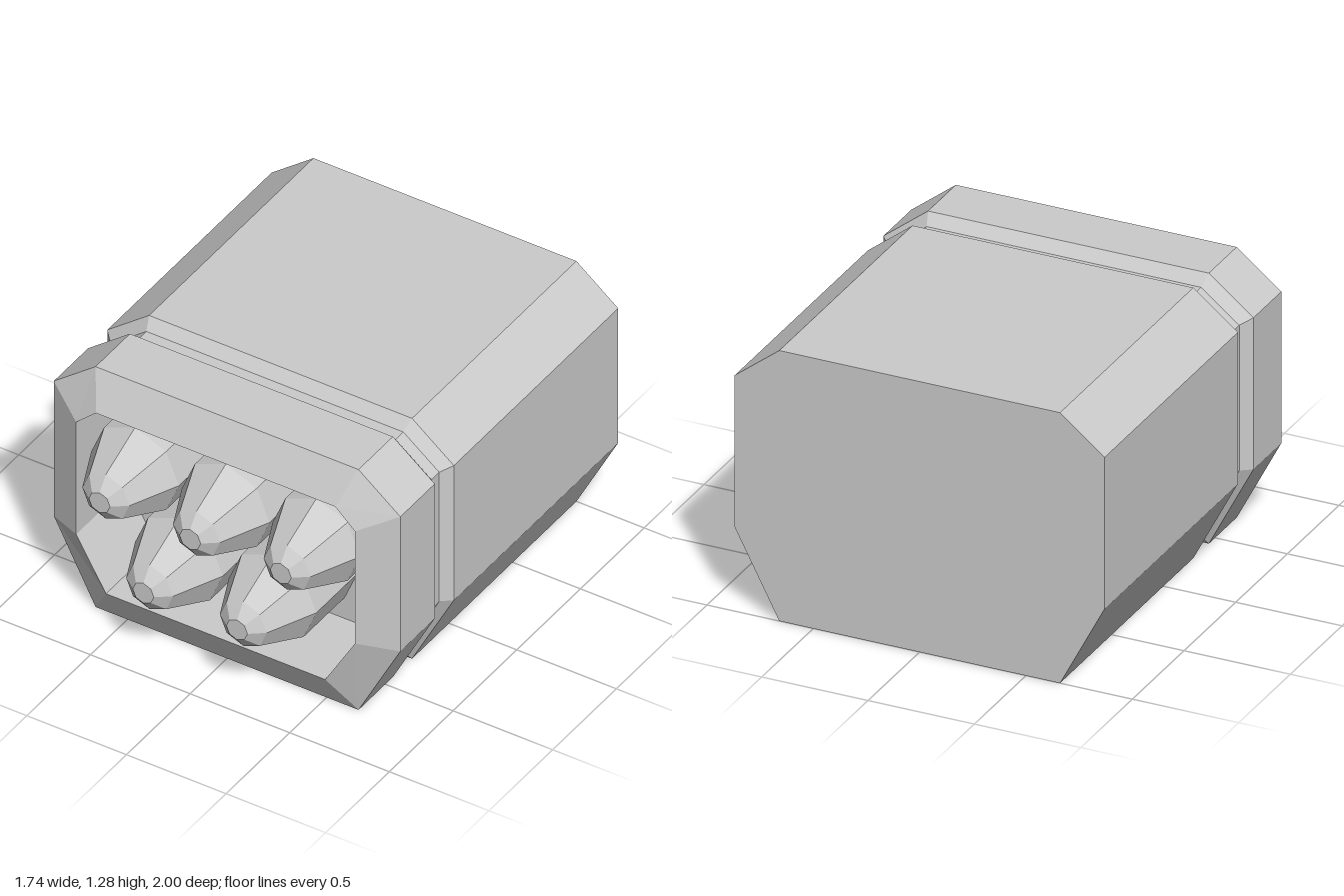
import * as THREE from 'three';

const mat = new THREE.MeshStandardMaterial({ color: 0xcccccc, flatShading: true });

// Right half of an octagonal section, bottom to top, mirrored to a full ring
const ring = (half, z) => {
  const left = half.map(([x, y]) => [-x, y]).reverse();
  return [...half, ...left].map(([x, y]) => new THREE.Vector3(x, y, z));
};

// Skin consecutive rings and close both ends
function loft(rings) {
  const pos = [];
  const tri = (...pts) => pts.forEach((p) => pos.push(p.x, p.y, p.z));
  const n = rings[0].length;
  for (let r = 0; r < rings.length - 1; r++) {
    const a = rings[r], b = rings[r + 1];
    for (let i = 0; i < n; i++) {
      const j = (i + 1) % n;
      tri(a[i], a[j], b[j]);
      tri(a[i], b[j], b[i]);
    }
  }
  const first = rings[0], last = rings[rings.length - 1];
  for (let i = 1; i < n - 1; i++) {
    tri(first[0], first[i + 1], first[i]);
    tri(last[0], last[i], last[i + 1]);
  }
  const geo = new THREE.BufferGeometry();
  geo.setAttribute('position', new THREE.Float32BufferAttribute(pos, 3));
  geo.computeVertexNormals();
  return geo;
}

export function createModel() {
  const group = new THREE.Group();

  const outer = [[0.66, 0], [0.87, 0.4], [0.87, 1.12], [0.66, 1.285]];
  const groove = [[0.645, 0.05], [0.825, 0.405], [0.825, 1.095], [0.645, 1.235]];
  const opening = [[0.55, 0.175], [0.7, 0.43], [0.7, 1.03], [0.6, 1.12]];

  // Casing: back, groove, bevelled rim, then back in to the recess floor
  const casing = new THREE.Mesh(loft([
    ring(outer, -1), ring(outer, 0.29),
    ring(groove, 0.335), ring(groove, 0.395),
    ring(outer, 0.44), ring(outer, 0.71),
    ring(opening, 0.8), ring(opening, 0.4),
  ]), mat);
  casing.name = 'casing';
  group.add(casing);

  // Five faceted warheads standing on the recess floor
  const profile = [[0.22, 0.4], [0.22, 0.72], [0.118, 0.95], [0.053, 1], [0, 1]]
    .map(([r, z]) => new THREE.Vector2(r, z));
  const warheadGeo = new THREE.LatheGeometry(profile, 8).rotateX(Math.PI / 2);
  const centres = [[-0.455, 0.832], [0, 0.825], [0.455, 0.832], [-0.235, 0.44], [0.235, 0.44]];
  centres.forEach(([x, y], i) => {
    const warhead = new THREE.Mesh(warheadGeo, mat);
    warhead.name = `warhead${i + 1}`;
    warhead.position.set(x, y, 0);
    group.add(warhead);
  });

  return group;
}
